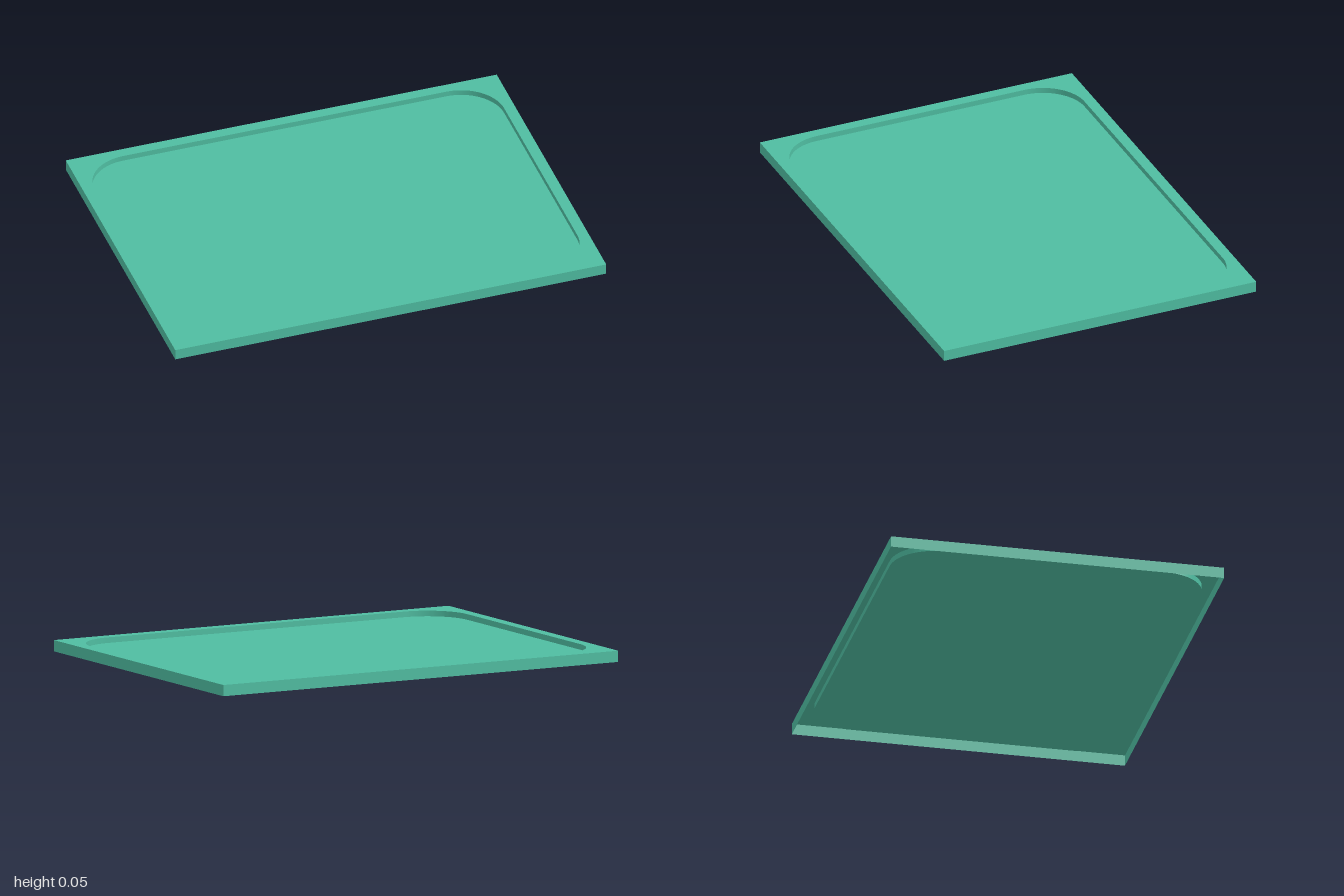
import * as THREE from 'three';
import { toCreasedNormals } from 'three/addons/utils/BufferGeometryUtils.js';

const W = 2, D = 1.5, H = 0.05;      // overall size
const MARGIN = 0.05, RADIUS = 0.2;   // rim width and recess corner radius
const FLOOR = 0.025;                 // height of the recessed floor

// Rounded rectangle centred on the origin, counter-clockwise
function roundedRect(target, w, d, r) {
  const x = w / 2 - r, y = d / 2 - r;
  target.absarc(x, y, r, 0, Math.PI / 2);
  target.absarc(-x, y, r, Math.PI / 2, Math.PI);
  target.absarc(-x, -y, r, Math.PI, Math.PI * 1.5);
  target.absarc(x, -y, r, Math.PI * 1.5, Math.PI * 2);
  target.closePath();
  return target;
}

// Closed upright band that follows an outline between two heights
function band(outline, low, high) {
  const positions = [], indices = [], n = outline.length;
  outline.forEach((p, i) => {
    positions.push(p.x, p.y, low, p.x, p.y, high);
    const a = 2 * i, b = 2 * ((i + 1) % n);
    indices.push(a, b, b + 1, a, b + 1, a + 1);
  });
  const g = new THREE.BufferGeometry();
  g.setAttribute('position', new THREE.Float32BufferAttribute(positions, 3));
  g.setIndex(indices);
  return toCreasedNormals(g, Math.PI / 6);
}

export function createModel() {
  const group = new THREE.Group();
  group.name = 'tray';
  const material = new THREE.MeshStandardMaterial({ color: 0x4fbda1, side: THREE.DoubleSide });

  // Outlines lie in the xy plane and are laid flat
  const add = (name, geometry) => {
    const mesh = new THREE.Mesh(geometry.rotateX(-Math.PI / 2), material);
    mesh.name = name;
    group.add(mesh);
  };

  const corners = [[1, -1], [1, 1], [-1, 1], [-1, -1]]
    .map(([x, y]) => new THREE.Vector2(x * W / 2, y * D / 2));
  const recess = [W - 2 * MARGIN, D - 2 * MARGIN, RADIUS];

  // Flat rim around the recess
  const rim = new THREE.Shape(corners);
  rim.holes.push(roundedRect(new THREE.Path(), ...recess));
  add('rim', new THREE.ShapeGeometry(rim, 16).translate(0, 0, H));

  // Recessed floor
  const floor = roundedRect(new THREE.Shape(), ...recess);
  add('floor', new THREE.ShapeGeometry(floor, 16).translate(0, 0, FLOOR));

  // Recess wall faces inward; drop repeated points where arcs meet
  const outline = floor.getPoints(16)
    .filter((p, i, all) => p.distanceTo(all[(i + 1) % all.length]) > 1e-5)
    .reverse();
  add('recessWall', band(outline, FLOOR, H));

  // Thin outer skirt, open underneath
  add('outerWall', band(corners, 0, H));

  return group;
}
